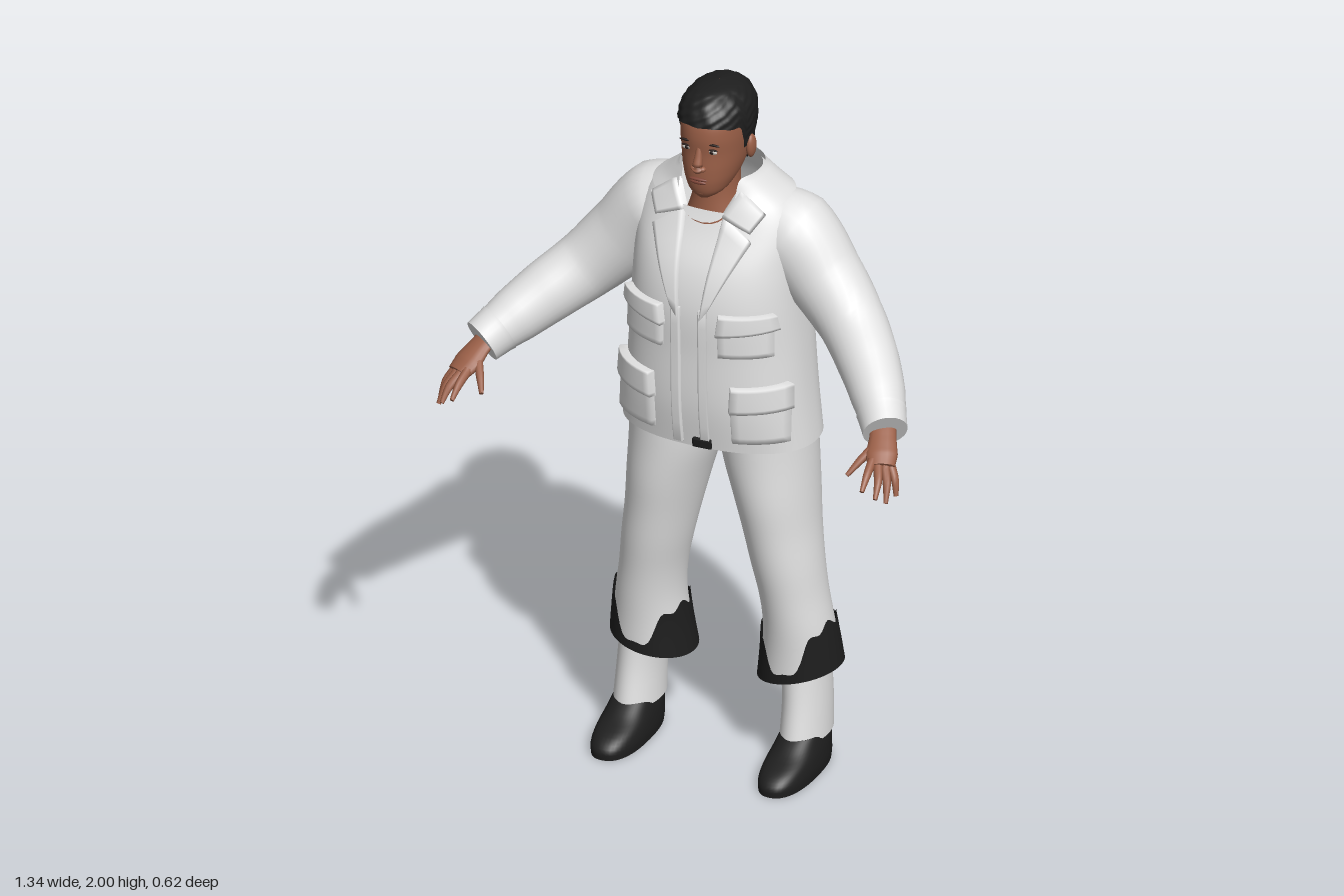
import * as THREE from 'three';

const mat = (name, color) => {
  const m = new THREE.MeshStandardMaterial({ color, side: THREE.DoubleSide });
  m.name = name;
  return m;
};

// Skin over closed rings of points; the rings share their seam so shading stays smooth
function loft(rings) {
  const n = rings[0].length, pos = [], idx = [];
  rings.forEach(r => r.forEach(p => pos.push(p.x, p.y, p.z)));
  for (let i = 0; i < rings.length - 1; i++) for (let j = 0; j < n; j++) {
    const a = i * n + j, b = i * n + (j + 1) % n, c = a + n, d = b + n;
    idx.push(a, c, b, b, c, d);
  }
  return indexed(pos, idx);
}

function indexed(pos, idx) {
  const g = new THREE.BufferGeometry();
  g.setAttribute('position', new THREE.Float32BufferAttribute(pos, 3));
  g.setIndex(idx);
  g.computeVertexNormals();
  return g;
}

// Close a list of rings with flat ends
function capped(rings) {
  const end = r => {
    const c = r.reduce((s, p) => s.add(p), new THREE.Vector3()).divideScalar(r.length);
    return r.map(() => c.clone());
  };
  const a = rings[0], b = rings[rings.length - 1];
  return [end(a), a.map(p => p.clone()), ...rings, b.map(p => p.clone()), end(b)];
}

// Smooth profile from rows [y, centreX, radiusX, centreZ, radiusZ], given from bottom to top
function profile(rows) {
  const curve = new THREE.CubicInterpolant(rows.map(r => r[0]), rows.flatMap(r => r.slice(1)), 4);
  return y => {
    const [cx, rx, cz, rz] = curve.evaluate(y);
    return { cx, rx: Math.max(rx, 0.0005), cz, rz: Math.max(rz, 0.0005) };
  };
}

// Upright body: low and high may depend on the angle (90 degrees is the front)
function body(prof, low, high, { power = 2, offset = 0, cap = false, sides = 48, rows = 28, bump = null } = {}) {
  const at = (f, a) => (typeof f === 'function' ? f(a) : f);
  const rings = [];
  for (let i = 0; i <= rows; i++) {
    rings.push(Array.from({ length: sides }, (_, j) => {
      const a = j / sides * Math.PI * 2, c = Math.cos(a), s = Math.sin(a);
      const y = THREE.MathUtils.lerp(at(low, a), at(high, a), i / rows);
      const { cx, rx, cz, rz } = prof(y);
      const o = offset + (bump ? bump(a, y) : 0);
      const k = v => Math.sign(v) * Math.abs(v) ** (2 / power);
      return new THREE.Vector3(cx + k(c) * (rx + o), y, cz + k(s) * (rz + o));
    }));
  }
  return loft(cap ? capped(rings) : rings);
}

// Limb through points [x, y, z, radius]; flat squeezes its thickness
function limb(pts, flat = 1, sides = 16, steps = 20) {
  const curve = new THREE.CatmullRomCurve3(pts.map(p => new THREE.Vector3(p[0], p[1], p[2])));
  const up = new THREE.Vector3(0, 1, 0), rings = [];
  for (let i = 0; i <= steps; i++) {
    const t = i / steps, f = t * (pts.length - 1), k = Math.min(Math.floor(f), pts.length - 2);
    const r = THREE.MathUtils.lerp(pts[k][3], pts[k + 1][3], f - k);
    const p = curve.getPoint(t), T = curve.getTangent(t);
    const N = T.clone().cross(up).normalize(), B = N.clone().cross(T);
    rings.push(Array.from({ length: sides }, (_, j) => {
      const a = j / sides * Math.PI * 2;
      return p.clone().addScaledVector(N, Math.cos(a) * r).addScaledVector(B, Math.sin(a) * r * flat);
    }));
  }
  return loft(capped(rings));
}

// Raised cloth panel lying on the front of a profile; corners run counter-clockwise from lower inner
function panel(prof, power, [a, b, c, d], thick) {
  const mix = THREE.MathUtils.lerp, us = [0, 0.01, 0.15, 0.3, 0.45, 0.6, 0.75, 0.88, 0.99, 1];
  const pos = [], idx = [], n = us.length;
  us.forEach((v, i) => us.forEach((u, j) => {
    const x = mix(mix(a[0], b[0], u), mix(d[0], c[0], u), v);
    const y = mix(mix(a[1], b[1], u), mix(d[1], c[1], u), v);
    const { rx, cz, rz } = prof(y);
    const z = rz * Math.max(0, 1 - Math.min(1, Math.abs(x) / rx) ** power) ** (1 / power);
    const edge = i === 0 || j === 0 || i === n - 1 || j === n - 1;
    const k = 1 + (edge ? -0.002 : thick) / rz;
    pos.push(x * k, y, cz + z * k);
    if (i < n - 1 && j < n - 1) {
      const p = i * n + j;
      idx.push(p, p + 1, p + n, p + 1, p + n + 1, p + n);
    }
  }));
  return indexed(pos, idx);
}
const rect = (x0, x1, y0, y1) => [[x0, y0], [x1, y0], [x1, y1], [x0, y1]];

const ball = (x, y, z, sx, sy, sz) => new THREE.SphereGeometry(1, 20, 14).scale(sx, sy, sz).translate(x, y, z);

function mirrored(geo) {
  const g = geo.clone().scale(-1, 1, 1), ix = g.index;
  for (let i = 0; i < ix.count; i += 3) {
    const t = ix.getX(i);
    ix.setX(i, ix.getX(i + 1));
    ix.setX(i + 1, t);
  }
  return g;
}

export function createModel() {
  const white = mat('white cloth', 0xe2e2e2), black = mat('black cloth', 0x1e1e1e);
  const skin = mat('skin', 0x9a5f47), lip = mat('lips', 0x7f4638);
  const eyeWhite = mat('eye white', 0xc9c4bd), dark = mat('brow and iris', 0x241a17);
  const model = new THREE.Group();
  model.name = 'standingMan';
  const add = (name, geo, m) => {
    const mesh = new THREE.Mesh(geo, m);
    mesh.name = name;
    model.add(mesh);
  };
  const pair = (name, geo, m) => {
    add(name + 'Left', geo, m);
    add(name + 'Right', mirrored(geo), m);
  };
  const front = (a, p) => Math.max(0, Math.sin(a)) ** p;

  // Jacket with an open neckline
  const torso = profile([
    [0.96, 0, 0.273, -0.105, 0.185], [1.1, 0, 0.258, -0.1, 0.2], [1.25, 0, 0.246, -0.1, 0.204],
    [1.4, 0, 0.237, -0.1, 0.205], [1.5, 0, 0.235, -0.108, 0.19], [1.6, 0, 0.232, -0.118, 0.15],
    [1.66, 0, 0.2, -0.118, 0.125], [1.7, 0, 0.15, -0.112, 0.108], [1.745, 0, 0.1, -0.1, 0.095],
  ]);
  const neckline = a => 1.74 - 0.125 * front(a, 8);
  add('jacket', body(torso, a => 0.965 + 0.012 * front(a, 1), neckline, { power: 2.3, sides: 80, rows: 40 }), white);
  add('collarBack', body(torso, a => 1.675 - 0.02 * front(a, 2), a => neckline(a) + 0.008,
    { power: 2.3, offset: 0.011, sides: 80, rows: 10 }), white);
  const patch = (corners, thick) => panel(torso, 2.3, corners, thick);
  pair('lapel', patch([[0.03, 1.37], [0.05, 1.4], [0.135, 1.59], [0.055, 1.65]], 0.013), white);
  pair('collarFront', patch([[0.05, 1.645], [0.125, 1.612], [0.15, 1.66], [0.085, 1.715]], 0.016), white);
  pair('placket', patch(rect(0.026, 0.05, 0.985, 1.4), 0.01), white);
  pair('chestPocket', patch(rect(0.078, 0.205, 1.27, 1.365), 0.011), white);
  pair('chestPocketFlap', patch([[0.072, 1.335], [0.212, 1.35], [0.205, 1.392], [0.08, 1.395]], 0.019), white);
  pair('lowerPocket', patch(rect(0.11, 0.238, 1.01, 1.13), 0.011), white);
  pair('lowerPocketFlap', patch([[0.105, 1.105], [0.238, 1.11], [0.235, 1.18], [0.11, 1.18]], 0.019), white);
  add('beltBuckle', patch(rect(0.004, 0.055, 0.983, 1.008), 0.013), black);

  // Sleeves
  pair('sleeve', limb([[0.1, 1.59, -0.125, 0.09], [0.19, 1.555, -0.13, 0.118], [0.29, 1.45, -0.12, 0.103],
    [0.385, 1.355, -0.085, 0.09], [0.465, 1.29, -0.015, 0.083], [0.53, 1.235, 0.06, 0.073],
    [0.585, 1.187, 0.137, 0.056]], 1.05, 28, 36), white);
  pair('sleeveCuff', limb([[0.557, 1.212, 0.098, 0.067], [0.588, 1.184, 0.141, 0.06]], 1.05, 28, 3), white);

  // Hands: palm, then thumb and fingers
  pair('palm', limb([[0.575, 1.195, 0.125, 0.034], [0.59, 1.172, 0.16, 0.036], [0.604, 1.145, 0.197, 0.043],
    [0.617, 1.125, 0.226, 0.036]], 0.5), skin);
  [
    ['thumb', [0.583, 1.165, 0.18], [0.555, 1.13, 0.225], [0.533, 1.098, 0.262]],
    ['indexFinger', [0.59, 1.137, 0.225], [0.595, 1.115, 0.27], [0.598, 1.085, 0.308]],
    ['middleFinger', [0.606, 1.13, 0.225], [0.625, 1.1, 0.265], [0.632, 1.065, 0.298]],
    ['ringFinger', [0.623, 1.125, 0.218], [0.643, 1.09, 0.248], [0.652, 1.047, 0.275]],
    ['littleFinger', [0.634, 1.125, 0.205], [0.655, 1.09, 0.222], [0.664, 1.053, 0.236]],
  ].forEach(([name, a, b, c]) =>
    pair(name, limb([[...a, 0.013], [...b, 0.011], [...c, 0.006]], 1, 10, 8), skin));

  // Trousers with black flared hems
  const leg = profile([
    [0.23, 0.216, 0.113, -0.136, 0.115], [0.34, 0.217, 0.1, -0.125, 0.107], [0.42, 0.214, 0.092, -0.116, 0.105],
    [0.5, 0.204, 0.089, -0.11, 0.108], [0.6, 0.188, 0.094, -0.105, 0.118], [0.7, 0.171, 0.1, -0.108, 0.132],
    [0.8, 0.155, 0.11, -0.11, 0.146], [0.92, 0.135, 0.124, -0.112, 0.153], [1.06, 0.125, 0.128, -0.11, 0.155],
  ]);
  const hem = a => 0.262 + 0.026 * Math.cos(a);
  pair('trouserLeg', body(leg, a => hem(a) + 0.015, 1.06), white);
  add('seat', ball(0, 1.03, -0.112, 0.235, 0.1, 0.15), white);
  pair('flaredHem', body(leg, hem,
    a => 0.405 + 0.02 * Math.cos(a) - 0.125 * front(a, 5) + 0.012 * Math.sin(9 * a),
    { offset: 0.007, sides: 72, rows: 10 }), black);
  const shin = profile([[0.085, 0.243, 0.063, -0.105, 0.105], [0.2, 0.241, 0.06, -0.117, 0.097],
    [0.4, 0.225, 0.062, -0.12, 0.088]]);
  pair('lowerTrouser', body(shin, 0.09, 0.4, { rows: 10 }), white);

  // Shoes
  const shoe = profile([[0, 0.244, 0.066, -0.03, 0.162], [0.025, 0.244, 0.068, -0.032, 0.163],
    [0.05, 0.244, 0.066, -0.045, 0.148], [0.075, 0.244, 0.062, -0.075, 0.118], [0.105, 0.244, 0.056, -0.1, 0.093]]);
  pair('shoe', body(shoe, 0, 0.105, { power: 2.4, cap: true, rows: 14 }), black);

  // Neck and head
  const neck = profile([[1.54, 0, 0.11, -0.065, 0.08], [1.62, 0, 0.08, -0.07, 0.073],
    [1.68, 0, 0.064, -0.07, 0.064], [1.78, 0, 0.062, -0.07, 0.06]]);
  add('neck', body(neck, 1.54, 1.78, { rows: 12 }), skin);
  const head = profile([
    [1.695, 0, 0.02, -0.002, 0.03], [1.71, 0, 0.044, -0.014, 0.054], [1.74, 0, 0.064, -0.036, 0.085],
    [1.78, 0, 0.078, -0.055, 0.106], [1.83, 0, 0.086, -0.065, 0.114], [1.88, 0, 0.09, -0.07, 0.121],
    [1.92, 0, 0.087, -0.072, 0.115], [1.955, 0, 0.07, -0.073, 0.094], [1.98, 0, 0.03, -0.075, 0.05],
  ]);
  add('head', body(head, 1.695, 1.98, { power: 2.15, cap: true, rows: 36 }), skin);
  pair('ear', ball(0.094, 1.822, -0.078, 0.013, 0.034, 0.02).rotateY(0), skin);

  // Hair: hairline high at the forehead, down past the temples to the nape
  const hair = profile([
    [1.74, 0, 0.07, -0.058, 0.1], [1.8, 0, 0.086, -0.063, 0.122], [1.86, 0, 0.095, -0.069, 0.129],
    [1.91, 0, 0.098, -0.072, 0.129], [1.95, 0, 0.089, -0.075, 0.117], [1.98, 0, 0.064, -0.078, 0.088],
    [1.994, 0, 0.036, -0.08, 0.052], [2, 0, 0.001, -0.08, 0.001],
  ]);
  const hairline = a => {
    const s = Math.sin(a), step = THREE.MathUtils.smoothstep;
    return 1.755 + 0.075 * step(s, -0.6, -0.05) + 0.075 * step(s, 0.15, 0.4) + 0.012 * step(s, 0.5, 1);
  };
  add('hair', body(hair, hairline, 2, {
    power: 2.1, sides: 72, rows: 30, bump: (a, y) => 0.0022 * Math.sin(13 * a + 90 * y) * Math.sin(170 * y) * (y < 1.985 ? 1 : 0),
  }), black);

  // Face
  const faceZ = (x, y) => {
    const { rx, cz, rz } = head(y);
    return cz + rz * (1 - (x / rx) ** 2.15) ** (1 / 2.15);
  };
  add('nose', limb([[0, 1.856, 0.043, 0.007], [0, 1.825, 0.05, 0.011], [0, 1.797, 0.056, 0.015],
    [0, 1.786, 0.05, 0.011]], 1, 14, 12), skin);
  pair('nostril', ball(0.013, 1.793, 0.05, 0.009, 0.008, 0.01), skin);
  pair('eye', ball(0.036, 1.845, faceZ(0.036, 1.845), 0.015, 0.006, 0.004), eyeWhite);
  pair('iris', ball(0.036, 1.845, faceZ(0.036, 1.845) + 0.002, 0.006, 0.0055, 0.004), dark);
  pair('eyelid', ball(0.036, 1.852, faceZ(0.036, 1.852), 0.017, 0.0025, 0.004), dark);
  pair('brow', ball(0.038, 1.867, faceZ(0.038, 1.867), 0.021, 0.0035, 0.004), dark);
  add('upperLip', ball(0, 1.761, faceZ(0, 1.761), 0.027, 0.005, 0.006), lip);
  add('lowerLip', ball(0, 1.752, faceZ(0, 1.752), 0.023, 0.006, 0.006), lip);
  add('chin', ball(0, 1.718, 0.025, 0.025, 0.016, 0.018), skin);

  return model;
}
